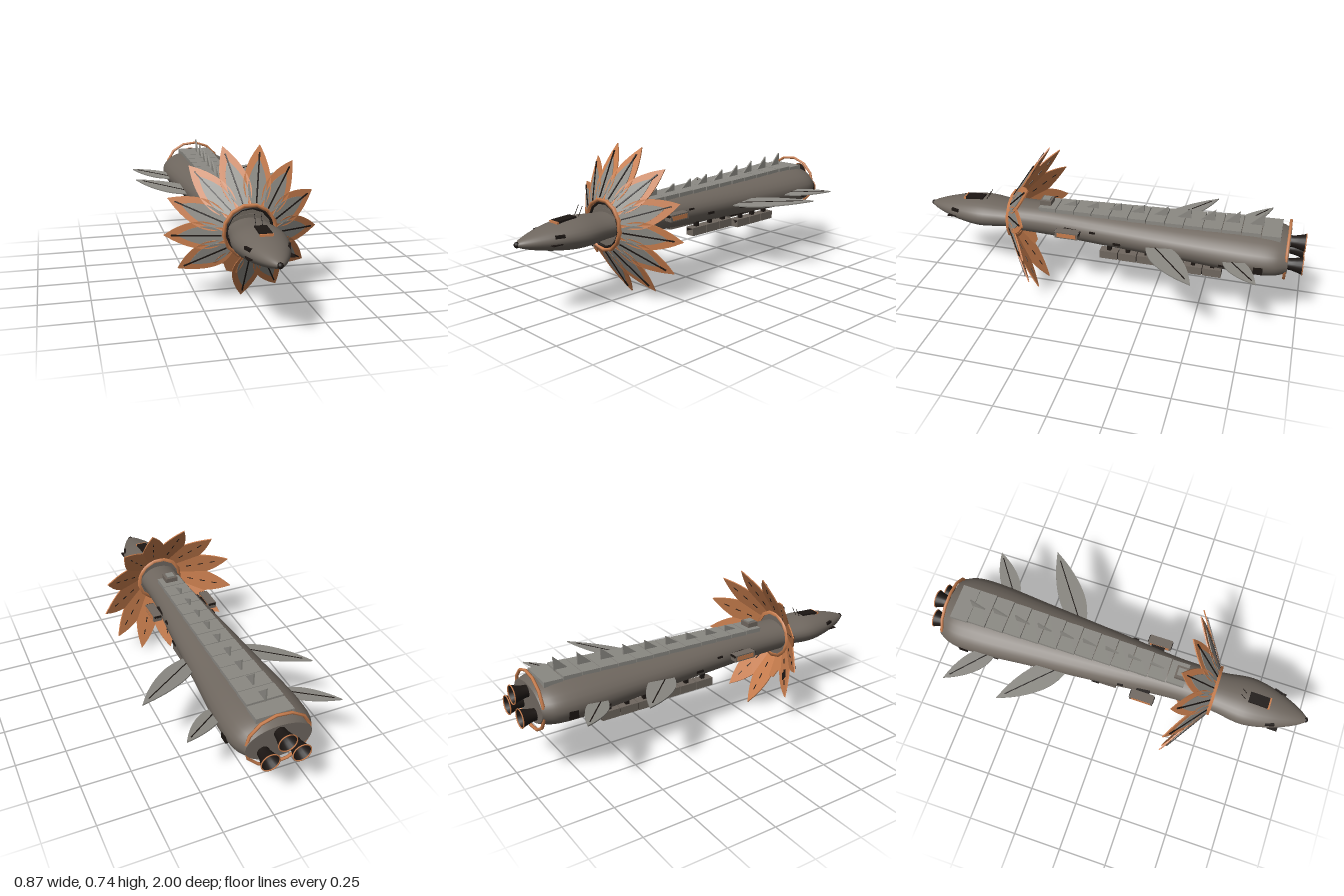
import * as THREE from 'three';

const CX = -0.037, CY = 0.378;
const mat = (color) => new THREE.MeshStandardMaterial({ color, side: THREE.DoubleSide });
const M = {
  hull: mat(0x6f675f), copper: mat(0xc87d4d), dark: mat(0x1c1613), plate: mat(0x8b8983),
};

function add(parent, name, geo, material, x = 0, y = 0, z = 0) {
  const m = new THREE.Mesh(geo, material);
  m.name = name;
  m.position.set(x, y, z);
  parent.add(m);
  return m;
}
const box = (w, h, d) => new THREE.BoxGeometry(w, h, d);

// Smooth body lofted through elliptical stations [z, halfWidth, halfHeight], rear to front
function loft(stations, steps, sides = 28) {
  const rows = new THREE.CatmullRomCurve3(stations.map((s) => new THREE.Vector3(...s))).getPoints(steps);
  const pos = [], idx = [];
  for (const r of rows) {
    for (let i = 0; i < sides; i++) {
      const a = (i / sides) * Math.PI * 2;
      pos.push(Math.cos(a) * r.y, Math.sin(a) * r.z, r.x);
    }
  }
  for (let j = 0; j < steps; j++) {
    for (let i = 0; i < sides; i++) {
      const k = (i + 1) % sides, a = j * sides + i, b = j * sides + k;
      idx.push(a, b, b + sides, a, b + sides, a + sides);
    }
  }
  const g = new THREE.BufferGeometry();
  g.setAttribute('position', new THREE.Float32BufferAttribute(pos, 3));
  g.setIndex(idx);
  g.computeVertexNormals();
  return g;
}

const HULL = [[-0.925, 0.162, 0.09], [-0.86, 0.192, 0.107], [-0.75, 0.2, 0.113], [-0.4, 0.172, 0.1],
  [0, 0.137, 0.09], [0.3, 0.108, 0.082], [0.5, 0.105, 0.078]];
const HEAD = [[0.47, 0.1, 0.06], [0.55, 0.108, 0.063], [0.68, 0.125, 0.073], [0.8, 0.104, 0.061],
  [0.9, 0.067, 0.04], [0.96, 0.035, 0.022], [0.99, 0.012, 0.009]];

// Half width and half height of a body at z
function sizeAt(st, z) {
  let i = 0;
  while (i < st.length - 2 && z > st[i + 1][0]) i++;
  const t = (z - st[i][0]) / (st[i + 1][0] - st[i][0]);
  return [1, 2].map((k) => THREE.MathUtils.lerp(st[i][k], st[i + 1][k], t));
}

// Pointed leaf along +y; a cut below 1 leaves a ragged stump
function leaf(length, half, depth, base = 0.45, cut = 1) {
  const s = new THREE.Shape();
  let side = [[base, 0], [0.85, 0.18], [1, 0.36], [0.86, 0.58], [0.5, 0.8], [0, 1]];
  if (cut < 1) side = [[base, 0], [0.85, 0.18], [0.95, cut]];
  const pts = side.map(([w, t]) => new THREE.Vector2(w * half, t * length));
  const curve = new THREE.SplineCurve(pts).getPoints(14);
  s.setFromPoints(curve);
  if (cut < 1) {
    s.lineTo(half * 0.3, length * (cut - 0.07));
    s.lineTo(-half * 0.2, length * (cut + 0.04));
  }
  curve.reverse().forEach((p) => s.lineTo(-p.x, p.y));
  return new THREE.ExtrudeGeometry(s, { depth, bevelEnabled: false });
}

function makePetal(i) {
  const turn = new THREE.Group(), petal = new THREE.Group();
  const broken = i === 12;
  turn.name = broken ? 'brokenPetal' : 'petal';
  turn.rotation.z = Math.PI + (i * Math.PI * 2) / 13;
  petal.position.set(0, 0.11, 0.505);
  petal.rotation.x = -0.575;
  turn.add(petal);
  add(petal, 'petalBlade', leaf(0.312, 0.067, 0.006, 0.45, broken ? 0.4 : 1), M.copper);
  if (!broken) {
    add(petal, 'petalPanel', leaf(0.23, 0.045, 0.003), M.plate, 0, 0.01, 0.006);
    add(petal, 'petalRib', box(0.006, 0.25, 0.006), M.dark, 0, 0.145, 0.01);
    for (let k = 0; k < 3; k++) add(petal, 'petalSlot', box(0.004, 0.03, 0.003), M.dark, 0, 0.08 + k * 0.07, -0.001);
    if (i === 11) add(petal, 'scorchPatch', box(0.04, 0.045, 0.003), M.dark, 0, 0.17, -0.002);
  }
  return turn;
}

// Leaf-shaped side fin from root to tip
function makeFin(name, root, tip, half) {
  const g = new THREE.Group();
  g.name = name;
  const a = new THREE.Vector3(...root), dir = new THREE.Vector3(...tip).sub(a);
  const length = dir.length();
  dir.normalize();
  const across = new THREE.Vector3().crossVectors(dir, new THREE.Vector3(0, 1, 0)).normalize();
  across.y += across.z > 0 ? -0.12 : 0.12;
  across.normalize();
  const normal = new THREE.Vector3().crossVectors(across, dir).normalize();
  g.quaternion.setFromRotationMatrix(new THREE.Matrix4().makeBasis(across, dir, normal));
  g.position.copy(a);
  add(g, 'finBlade', leaf(length, half, 0.006), M.plate, 0, 0, -0.003);
  add(g, 'finRib', box(0.005, length * 0.85, 0.01), M.dark, 0, length * 0.45, 0);
  return g;
}

export function createModel() {
  const model = new THREE.Group();
  model.name = 'flowerShip';
  const ship = new THREE.Group();
  ship.name = 'ship';
  ship.position.set(CX, CY, 0);
  model.add(ship);

  // Hull and head with end caps
  add(ship, 'hull', loft(HULL, 40), M.hull);
  add(ship, 'head', loft(HEAD, 30), M.hull);
  add(ship, 'hullRearCap', new THREE.CircleGeometry(1, 28), M.hull, 0, 0, -0.925).scale.set(0.162, 0.09, 1);
  add(ship, 'hullFrontCap', new THREE.CircleGeometry(1, 28), M.hull, 0, 0, 0.5).scale.set(0.105, 0.078, 1);
  add(ship, 'noseTip', new THREE.SphereGeometry(0.014, 12, 8), M.dark, 0, 0, 0.986);

  // Collar and its petals
  const ring = [[0.112, -0.015], [0.13, -0.015], [0.13, 0.015], [0.116, 0.015], [0.112, -0.015]];
  const collarGeo = new THREE.LatheGeometry(ring.map((p) => new THREE.Vector2(...p)), 13);
  add(ship, 'collar', collarGeo, M.copper, 0, 0, 0.505).rotation.x = Math.PI / 2;
  add(ship, 'collarSeal', new THREE.TorusGeometry(0.109, 0.007, 6, 13), M.dark, 0, 0, 0.508);
  add(ship, 'collarBulkhead', new THREE.CircleGeometry(0.112, 26), M.hull, 0, 0, 0.497);
  for (let i = 0; i < 13; i++) ship.add(makePetal(i));

  // Dorsal plates
  const n = 13, step = 1.24 / n;
  for (let i = 0; i < n; i++) {
    const z = 0.36 - (i + 0.5) * step, [, h] = sizeAt(HULL, z);
    const w = THREE.MathUtils.lerp(0.12, 0.185, i / (n - 1));
    const p = add(ship, 'spinePlate', box(w, 0.026, step * 0.96), M.plate, 0, h - 0.006, z);
    p.rotation.x = 0.03;
  }

  // Sawtooth dorsal spikes, steep toward the tail
  for (let i = 0; i < 9; i++) {
    const z = 0.24 - i * 0.12, h = 0.034 + i * 0.0045;
    const s = new THREE.Shape([[0, 0], [0.07, 0], [0.07, h]].map((p) => new THREE.Vector2(...p)));
    const g = new THREE.ExtrudeGeometry(s, { depth: 0.008, bevelEnabled: false });
    const m = add(ship, 'dorsalSpike', g, M.plate, -0.004, sizeAt(HULL, z - 0.05)[1] + 0.005, z);
    m.rotation.y = Math.PI / 2;
  }
  add(ship, 'spineHousing', box(0.065, 0.035, 0.06), M.hull, 0, 0.095, 0.33);
  add(ship, 'spineHousingLid', box(0.04, 0.008, 0.04), M.plate, 0, 0.115, 0.33);

  // Side fins
  model.add(makeFin('leftFrontFin', [0.08, 0.375, -0.25], [0.43, 0.405, -0.51], 0.068));
  model.add(makeFin('rightFrontFin', [-0.15, 0.375, -0.25], [-0.435, 0.4, -0.52], 0.065));
  model.add(makeFin('leftRearFin', [0.11, 0.375, -0.63], [0.335, 0.395, -0.795], 0.05));
  model.add(makeFin('rightRearFin', [-0.2, 0.375, -0.63], [-0.42, 0.395, -0.815], 0.05));

  for (const s of [1, -1]) {
    // Flank pods
    add(ship, 'flankPodMount', box(0.06, 0.02, 0.07), M.dark, s * 0.125, 0.01, 0.17);
    add(ship, 'flankPod', box(0.045, 0.034, 0.12), M.hull, s * 0.155, 0.01, 0.175);
    add(ship, 'flankPodTrim', box(0.048, 0.022, 0.1), M.copper, s * 0.155, 0.01, 0.175);
    for (let k = -1; k <= 1; k++) {
      const b = add(ship, 'flankPodBarrel', new THREE.CylinderGeometry(0.007, 0.007, 0.128, 8), M.dark, s * 0.155 + k * 0.013, 0.02, 0.175);
      b.rotation.x = Math.PI / 2;
    }
    // Belly pods in two rows
    for (const [z, y] of [[-0.127, -0.112], [-0.465, -0.13]]) {
      for (let k = -1; k <= 1; k++) {
        add(ship, 'bellyPod', box(0.05, 0.042, 0.094), M.hull, s * 0.085, y, z + k * 0.098);
        add(ship, 'bellyPodStrut', box(0.02, 0.06, 0.02), M.dark, s * 0.085, y + 0.035, z + k * 0.098);
      }
      add(ship, 'bellyPodCore', box(0.04, 0.032, 0.29), M.dark, s * 0.085, y, z);
    }
    // Portholes and vents on the flanks
    for (const [z, y, w, h] of [[-0.79, -0.022, 0.045, 0.04], [-0.62, -0.03, 0.04, 0.01],
      [-0.3, -0.02, 0.04, 0.012], [-0.08, -0.02, 0.04, 0.012], [0.05, 0.02, 0.03, 0.008]]) {
      const [rx, ry] = sizeAt(HULL, z);
      add(ship, 'flankPort', box(0.012, h, w), M.dark, s * rx * Math.sqrt(1 - (y / ry) ** 2), y, z);
    }
    // Head eyes, gills and antennae
    add(ship, 'eye', box(0.014, 0.014, 0.045), M.dark, s * 0.089, 0.022, 0.82).rotation.y = -s * 0.3;
    add(ship, 'gill', box(0.05, 0.004, 0.05), M.dark, s * 0.077, -0.012, 0.84);
    const a = add(ship, 'antenna', new THREE.CylinderGeometry(0.0015, 0.0015, 0.06, 5), M.dark, s * 0.015, 0.092, 0.655);
    a.rotation.x = -0.5;
  }

  // Cockpit window and belly bay
  add(ship, 'cockpit', box(0.055, 0.018, 0.1), M.dark, 0, 0.067, 0.735).rotation.x = 0.06;
  add(ship, 'cockpitSill', box(0.06, 0.01, 0.012), M.copper, 0, 0.066, 0.788);
  add(ship, 'bellyBay', box(0.09, 0.012, 0.16), M.dark, 0, -0.1, -0.42);

  // Tail ring and three engine bells
  const tail = add(ship, 'tailRing', new THREE.TorusGeometry(0.158, 0.008, 6, 13), M.copper, 0, 0.005, -0.915);
  tail.scale.set(1, 0.89, 1);
  const bell = [[0.028, 0], [0.03, 0.03], [0.036, 0.055], [0.045, 0.085]].map((p) => new THREE.Vector2(...p));
  for (const [x, y] of [[0, 0.052], [0.076, -0.033], [-0.076, -0.033]]) {
    add(ship, 'engineBell', new THREE.LatheGeometry(bell, 18), M.dark, x, y, -0.912).rotation.x = -Math.PI / 2;
    add(ship, 'engineRim', new THREE.TorusGeometry(0.045, 0.003, 6, 18), M.copper, x, y, -0.997);
  }
  return model;
}
